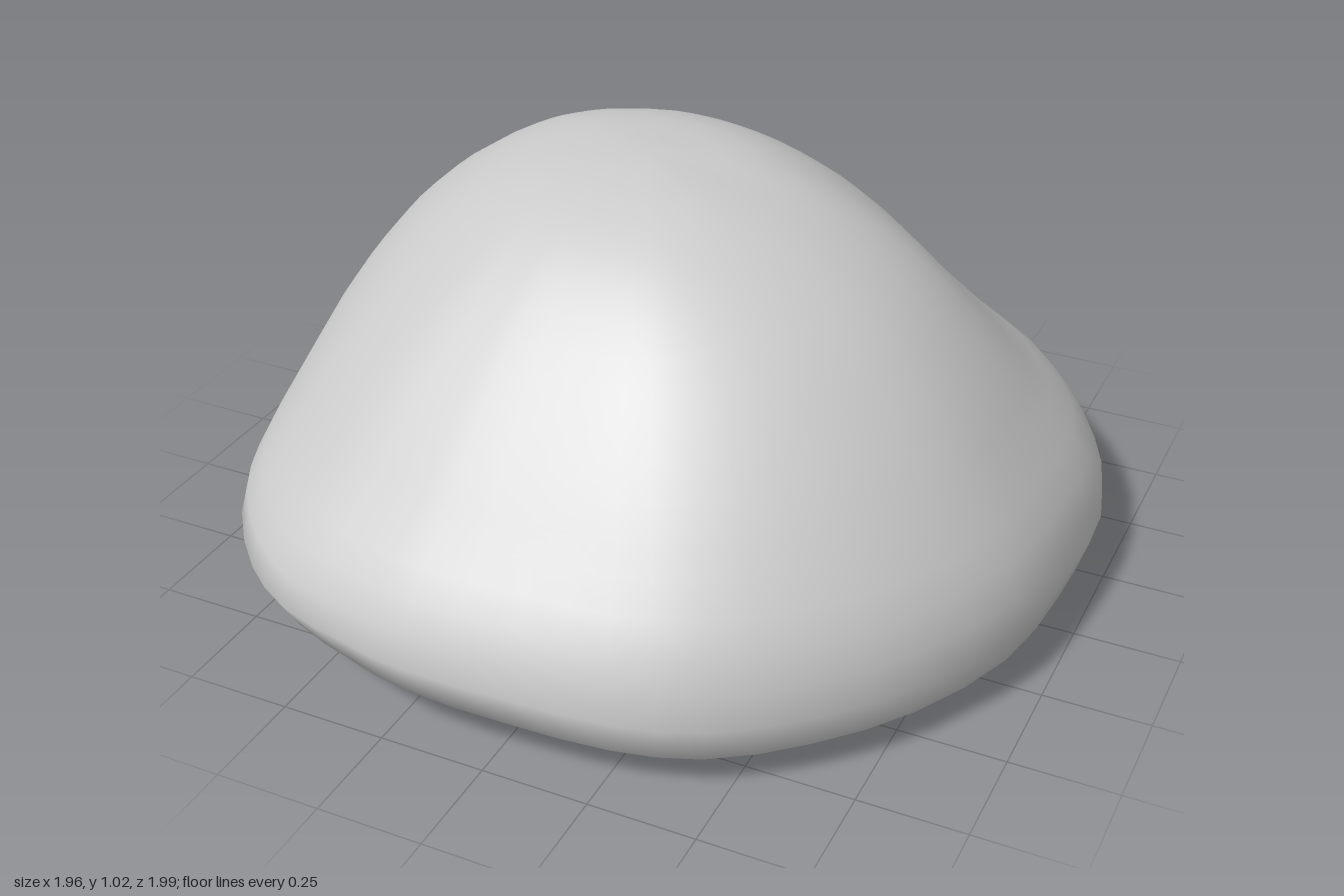
import * as THREE from 'three';

// Plan outline of the widest rim, as x, z pairs running from +x towards +z
const OUTLINE = [
  [0.975, 0], [0.935, 0.28], [0.81, 0.54], [0.65, 0.73], [0.46, 0.88], [0.28, 0.95],
  [0.06, 0.985], [-0.2, 0.995], [-0.35, 0.97], [-0.54, 0.92], [-0.68, 0.83], [-0.82, 0.67],
  [-0.89, 0.52], [-0.94, 0.34], [-0.97, 0.1], [-0.98, -0.2], [-0.9, -0.5], [-0.82, -0.61],
  [-0.68, -0.75], [-0.35, -0.94], [-0.14, -0.99], [0, -1], [0.22, -0.98], [0.53, -0.89],
  [0.73, -0.75], [0.89, -0.53], [0.97, -0.29],
];

// Heights of the upper contours, and their reach (share of the rim radius)
// in eight directions from +x towards +z
const LEVELS = [0.99, 0.93, 0.8, 0.62, 0.45, 0.31];
const REACH = [
  [0.22, 0.25, 0.20, 0.19, 0.24, 0.28, 0.25, 0.22],
  [0.40, 0.41, 0.37, 0.36, 0.45, 0.47, 0.40, 0.35],
  [0.60, 0.60, 0.54, 0.54, 0.66, 0.65, 0.58, 0.51],
  [0.765, 0.77, 0.71, 0.72, 0.83, 0.81, 0.73, 0.66],
  [0.88, 0.895, 0.85, 0.86, 0.93, 0.92, 0.86, 0.81],
  [0.965, 0.975, 0.96, 0.97, 0.99, 0.985, 0.97, 0.94],
];
const RIM_HEIGHT = [0.19, 0.16, 0.165, 0.23, 0.26, 0.25, 0.21, 0.16];

// Smooth periodic lookup in a table of eight directions
function around(table, angle) {
  const t = ((angle / (Math.PI * 2)) * 8 + 8) % 8;
  const i = Math.floor(t), f = t - i;
  const at = (k) => table[(i + k + 8) % 8];
  const [a, b, c, d] = [at(-1), at(0), at(1), at(2)];
  return b + 0.5 * f * (c - a + f * (2 * a - 5 * b + 4 * c - d + f * (3 * (b - c) + d - a)));
}

// Underside: dips towards +x and the back, rises a little towards -x and the front
function underside(x, z) {
  const dip = THREE.MathUtils.smoothstep(x, -0.1, 0.6);
  const rise = THREE.MathUtils.smoothstep(-x, 0, 0.7) * THREE.MathUtils.smoothstep(z, 0, 0.6);
  return 0.1 - dip * (0.07 + 0.03 * THREE.MathUtils.smoothstep(-z, 0, 0.6)) + 0.03 * rise;
}

function boulderGeometry(columns = 54, rows = 32) {
  const apex = new THREE.Vector3(-0.08, 1.015, 0.01);
  const rim = new THREE.CatmullRomCurve3(
    OUTLINE.map(([x, z]) => new THREE.Vector3(x, 0, z)), true);
  const positions = [], index = [];

  // One meridian per column, from the apex over the rim to the middle of the base
  for (let c = 0; c < columns; c++) {
    const edge = rim.getPoint(c / columns);
    const angle = Math.atan2(edge.z, edge.x);
    const place = (share, y) => new THREE.Vector3(
      apex.x + share * (edge.x - apex.x), y, apex.z + share * (edge.z - apex.z));
    const rimY = around(RIM_HEIGHT, angle);
    const points = [apex.clone()];
    LEVELS.forEach((y, i) => points.push(place(around(REACH[i], angle), y)));
    points.push(place(1, rimY));
    for (const [share, lift] of [[0.985, 0.4], [0.945, 0.13], [0.865, 0], [0.6, 0], [0.3, 0], [0, 0]]) {
      const p = place(share, 0);
      const base = underside(p.x, p.z);
      p.y = base + lift * (rimY - base);
      points.push(p);
    }
    const meridian = new THREE.CatmullRomCurve3(points);
    for (let r = 1; r < rows; r++) positions.push(...meridian.getPointAt(r / rows).toArray());
  }

  // Poles and faces
  const ring = rows - 1, top = columns * ring, bottom = top + 1;
  positions.push(apex.x, apex.y, apex.z, apex.x, underside(apex.x, apex.z), apex.z);
  for (let c = 0; c < columns; c++) {
    const a = c * ring, b = ((c + 1) % columns) * ring;
    index.push(top, b, a, bottom, a + ring - 1, b + ring - 1);
    for (let r = 0; r < ring - 1; r++) {
      index.push(a + r, b + r, a + r + 1, b + r, b + r + 1, a + r + 1);
    }
  }
  const geometry = new THREE.BufferGeometry();
  geometry.setAttribute('position', new THREE.Float32BufferAttribute(positions, 3));
  geometry.setIndex(index);
  geometry.computeVertexNormals();
  return geometry;
}

export function createModel() {
  const model = new THREE.Group();
  model.name = 'rock';
  const boulder = new THREE.Mesh(
    boulderGeometry(), new THREE.MeshStandardMaterial({ color: 0xcccccc }));
  boulder.name = 'boulder';
  model.add(boulder);
  return model;
}
